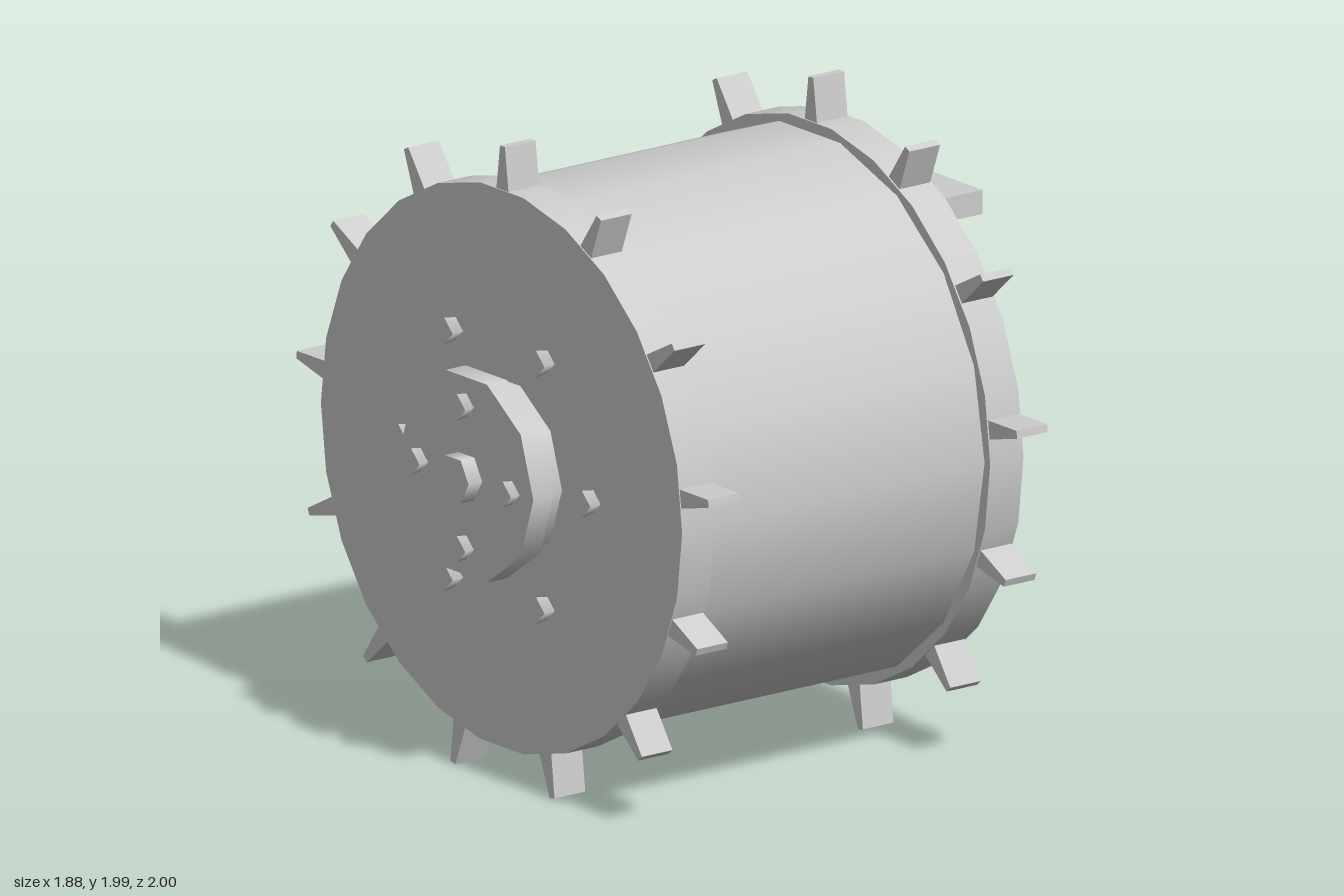
import * as THREE from 'three';

const AXLE_Y = 0.983;

export function createModel() {
  const model = new THREE.Group();
  model.name = 'toothedDrum';
  const metal = new THREE.MeshStandardMaterial({ color: 0xcccccc });
  metal.name = 'light grey metal';

  const drum = new THREE.Group();
  drum.name = 'drumAssembly';
  drum.position.y = AXLE_Y;
  model.add(drum);

  function add(name, geometry, x, y = 0, z = 0) {
    const mesh = new THREE.Mesh(geometry, metal);
    mesh.name = name;
    mesh.position.set(x, y, z);
    drum.add(mesh);
    return mesh;
  }

  // Cylinder lying along x, from x0 to x1
  function rod(name, x0, x1, r0, r1, sides, y = 0, z = 0) {
    const g = new THREE.CylinderGeometry(r1, r0, x1 - x0, sides).rotateZ(-Math.PI / 2);
    return add(name, g, (x0 + x1) / 2, y, z);
  }

  // Ring of small four-sided bolts
  function boltRing(name, x0, x1, ringRadius, count) {
    for (let i = 0; i < count; i++) {
      const a = (i / count) * Math.PI * 2;
      rod(name, x0, x1, 0.042, 0.034, 4, Math.sin(a) * ringRadius, Math.cos(a) * ringRadius);
    }
  }

  // Tapered tooth standing on the rim
  const inner = 0.84, outer = 1.006;
  const toothGeometry = new THREE.BoxGeometry(0.117, outer - inner, 1);
  toothGeometry.translate(0, (inner + outer) / 2, 0);
  const p = toothGeometry.attributes.position;
  for (let i = 0; i < p.count; i++) {
    p.setZ(i, Math.sign(p.getZ(i)) * (p.getY(i) > 0.9 ? 0.012 : 0.033));
  }
  toothGeometry.computeVertexNormals();

  // Main barrel
  rod('barrel', -0.64, 0.43, 0.849, 0.849, 18);

  // End discs with thirteen teeth each
  for (const [side, x0, x1] of [['right', -0.756, -0.632], ['left', 0.418, 0.545]]) {
    rod(side + 'EndDisc', x0, x1, 0.876, 0.876, 26);
    for (let i = 0; i < 13; i++) {
      const tooth = add(side + 'Tooth', toothGeometry, (x0 + x1) / 2);
      tooth.rotation.x = (i / 13) * Math.PI * 2;
    }
  }

  // Hubs and flanges
  rod('leftHub', 0.54, 0.605, 0.293, 0.293, 10);
  rod('leftFlange', 0.598, 0.677, 0.325, 0.325, 10);
  rod('rightHub', -0.82, -0.75, 0.293, 0.293, 10);
  rod('rightFlange', -0.89, -0.813, 0.325, 0.325, 10);

  // Bolts on the discs and flanges
  boltRing('leftDiscBolt', 0.53, 0.585, 0.445, 6);
  boltRing('rightDiscBolt', -0.8, -0.745, 0.445, 6);
  boltRing('leftFlangeBolt', 0.66, 0.71, 0.222, 4);
  boltRing('rightFlangeBolt', -0.927, -0.875, 0.222, 4);

  // Hexagonal axle
  rod('axle', -0.942, 0.937, 0.077, 0.077, 6);

  // Mounting arm with its top plate
  add('supportArm', new THREE.BoxGeometry(0.13, 0.66, 0.21), 0.82, 1.183 - AXLE_Y);
  add('mountingPlate', new THREE.BoxGeometry(0.235, 0.075, 0.36), 0.819, 1.547 - AXLE_Y);

  return model;
}
